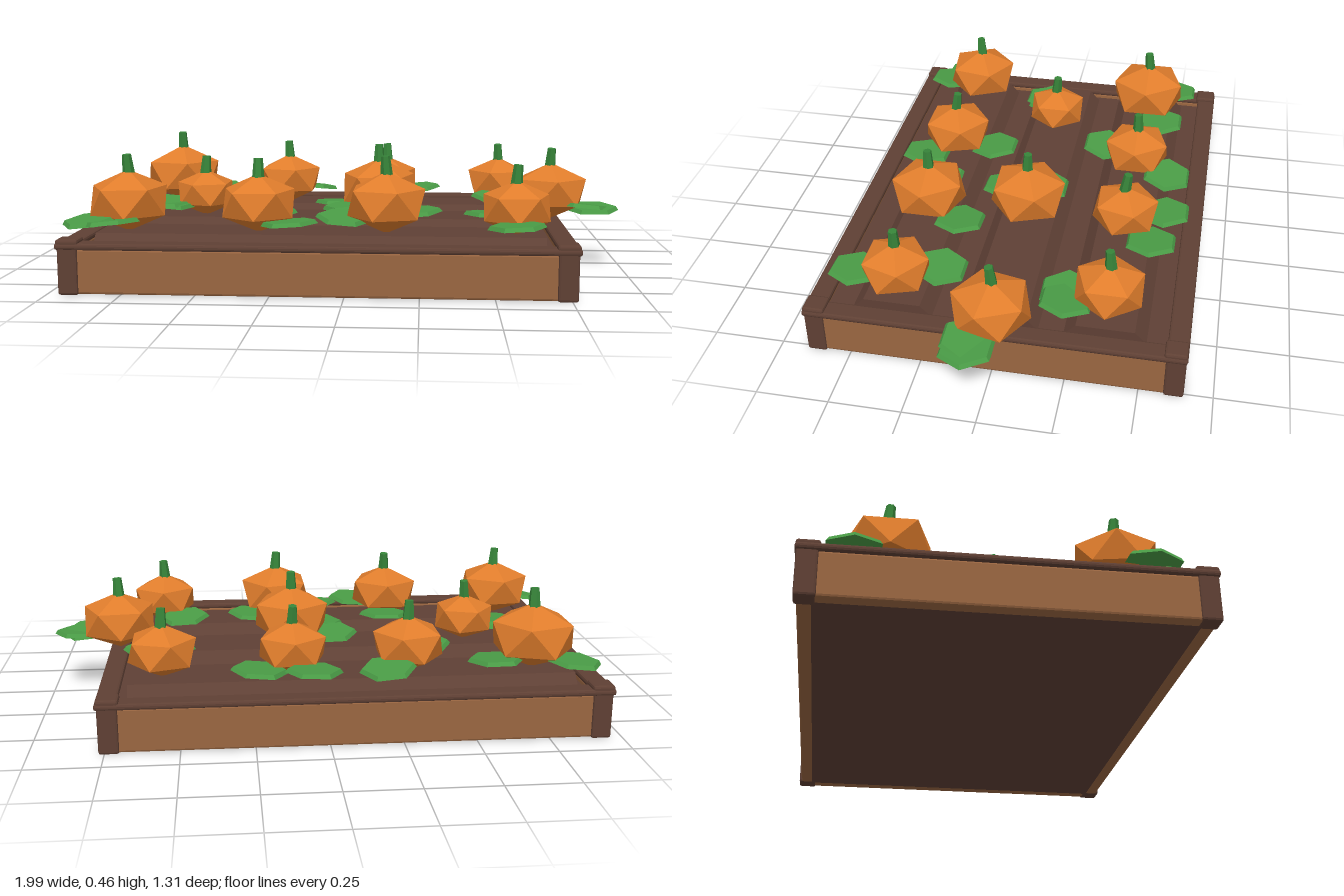
import * as THREE from 'three';
import { RoundedBoxGeometry } from 'three/addons/geometries/RoundedBoxGeometry.js';

const material = (name, color) => {
  const m = new THREE.MeshStandardMaterial({ color });
  m.name = name;
  return m;
};

// Faceted normals, so every face reads flat
function faceted(geometry) {
  const g = geometry.index ? geometry.toNonIndexed() : geometry;
  g.computeVertexNormals();
  return g;
}

export function createModel() {
  const soil = material('dark earth brown', 0x5f4035);
  const frameWood = material('dark wood', 0x5f4034);
  const panelWood = material('light wood', 0x9a6641);
  const orange = material('pumpkin orange', 0xe07d2c);
  const leafGreen = material('leaf green', 0x4a9c46);
  const stemGreen = material('stem green', 0x37853a);

  const model = new THREE.Group();
  model.name = 'pumpkinBed';

  const add = (name, geometry, mat, x, y, z, parent = model) => {
    const mesh = new THREE.Mesh(geometry, mat);
    mesh.name = name;
    mesh.position.set(x, y, z);
    parent.add(mesh);
    return mesh;
  };
  const block = (w, h, d, bevel = 0.008) => faceted(new RoundedBoxGeometry(w, h, d, 1, bevel));

  // Wooden frame
  const cx = -0.095;
  const frame = new THREE.Group();
  frame.name = 'frame';
  frame.position.x = cx;
  model.add(frame);
  for (const s of [-1, 1]) {
    add('longPanel', block(1.64, 0.155, 0.05), panelWood, 0, 0.0795, s * 0.618, frame);
    add('sidePanel', block(0.05, 0.155, 1.2), panelWood, s * 0.832, 0.0795, 0, frame);
    add('longRail', block(1.744, 0.022, 0.072), frameWood, 0, 0.165, s * 0.62, frame);
    add('sideRail', block(0.072, 0.022, 1.2), frameWood, s * 0.836, 0.165, 0, frame);
    for (const t of [-1, 1]) {
      add('cornerPost', block(0.068, 0.17, 0.068), frameWood, s * 0.83, 0.085, t * 0.618, frame);
      add('postCap', block(0.076, 0.026, 0.076), frameWood, s * 0.83, 0.176, t * 0.616, frame);
    }
  }

  // Earth with three raised planting ridges
  add('soilBed', new THREE.BoxGeometry(1.66, 0.135, 1.23), soil, cx, 0.0705, 0);
  const section = new THREE.Shape([
    new THREE.Vector2(-0.148, 0), new THREE.Vector2(0.148, 0),
    new THREE.Vector2(0.1, 0.05), new THREE.Vector2(-0.1, 0.05),
  ]);
  const ridge = new THREE.ExtrudeGeometry(section, { depth: 1.56, bevelEnabled: false });
  ridge.translate(0, 0, -0.78).rotateY(Math.PI / 2);
  for (const z of [-0.373, -0.005, 0.365]) add('plantingRidge', ridge, soil, -0.1, 0.13, z);

  // Pumpkins: squashed icosahedra standing on a corner
  const body = new THREE.IcosahedronGeometry(1 / 0.894, 0);
  body.rotateZ(-Math.atan(2 / (1 + Math.sqrt(5)))).scale(1, 0.715, 1);
  const pumpkinGeometry = faceted(body);
  const stemGeometry = faceted(new THREE.CylinderGeometry(0.016, 0.023, 0.085, 6));

  // x, z, radius, turn in degrees
  const pumpkins = [
    [-0.75, -0.37, 0.147, 0], [-0.3, -0.37, 0.125, 0], [0.11, -0.37, 0.12, -20], [0.565, -0.37, 0.12, -36],
    [-0.58, 0, 0.11, 36], [0.09, 0, 0.14, -20], [0.74, 0, 0.133, 12],
    [-0.785, 0.37, 0.137, -25], [-0.32, 0.37, 0.13, -18], [0.13, 0.37, 0.137, 0], [0.585, 0.37, 0.12, -18],
  ];
  pumpkins.forEach(([x, z, r, turn], i) => {
    const plant = new THREE.Group();
    plant.name = 'pumpkin';
    plant.position.set(x, 0.173, z);
    model.add(plant);
    const fruit = add('pumpkinBody', pumpkinGeometry, orange, 0, 0.8 * r, 0, plant);
    fruit.scale.setScalar(r);
    fruit.rotation.y = -THREE.MathUtils.degToRad(turn);
    const stem = add('stem', stemGeometry, stemGreen, 0, 1.6 * r + 0.012, 0, plant);
    stem.rotation.set(0.1 * Math.cos(i * 2), i, 0.1 * Math.sin(i * 2));
  });

  // Flat six-sided leaves, each with a slight tilt
  const leafGeometry = faceted(new THREE.CylinderGeometry(0.09, 0.1, 0.014, 6).rotateY(Math.PI / 6));
  const leaves = [
    [-0.87, -0.48], [-0.6, -0.44], [-0.21, -0.5], [0.045, -0.515], [0.23, -0.48], [-0.38, -0.24],
    [0.55, -0.22], [0.61, -0.23], [-0.72, 0.06], [-0.7, 0.05], [-0.06, -0.04], [-0.02, 0.1],
    [0.89, 0.05], [0.86, 0.05], [-0.3, 0.21], [0.23, 0.23], [0.505, 0.23], [-0.02, 0.37],
    [-0.2, 0.47], [0.575, 0.52], [-0.9, 0.46], [-0.81, 0.51],
  ];
  leaves.forEach(([x, z], i) => {
    const leaf = add('leaf', leafGeometry, leafGreen, x, 0.226 + 0.004 * Math.sin(i * 3), z);
    leaf.rotation.set(0.1 * Math.sin(i * 2.3), 0, x < -0.8 ? 0.1 : 0.1 * Math.cos(i * 1.7));
  });

  return model;
}
